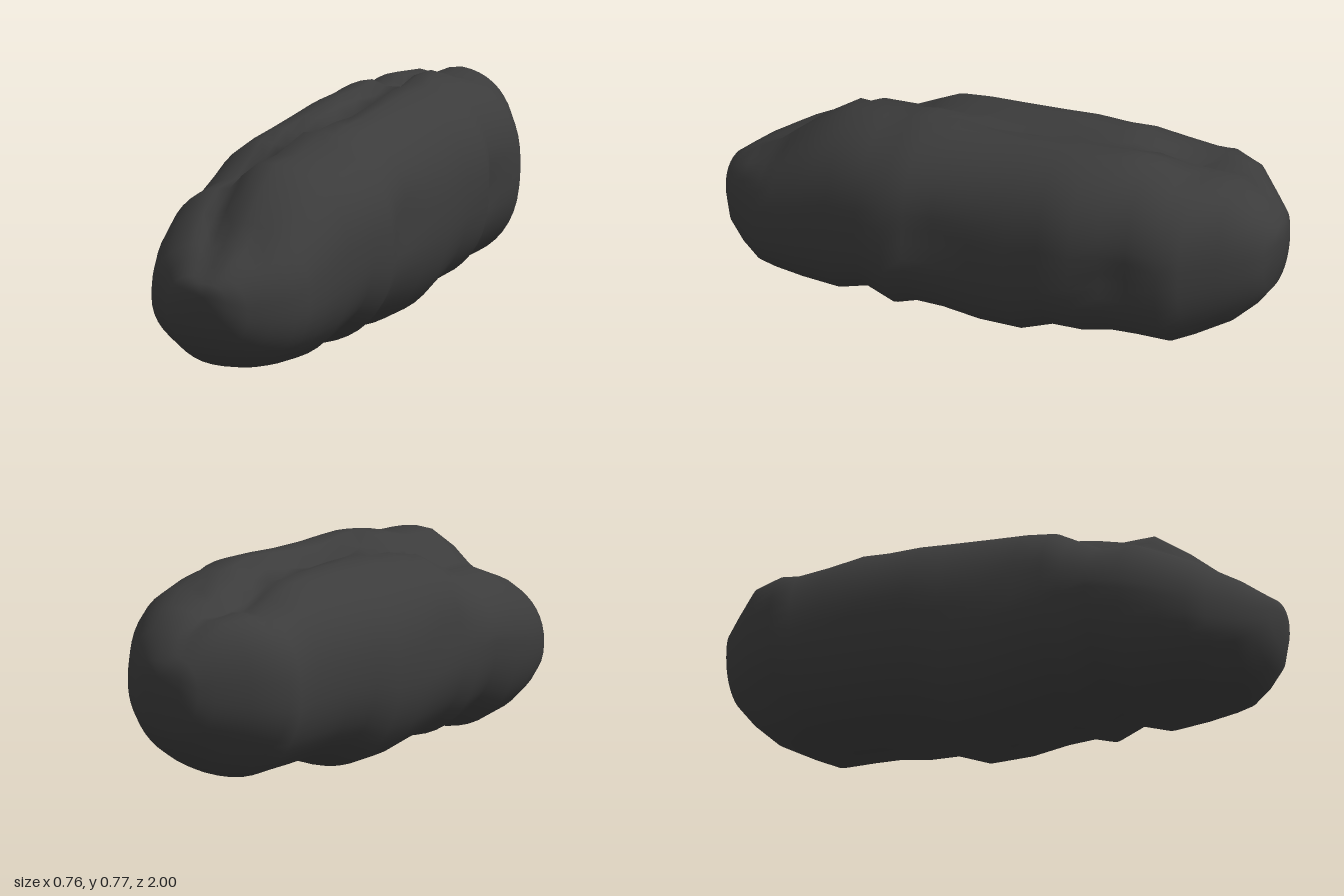
import * as THREE from 'three';

// Cross-sections from back to front: z, min x, max x, bottom, top
const SECTIONS = [
  [-0.985, -0.05, 0.10, 0.43, 0.57],
  [-0.965, -0.11, 0.14, 0.33, 0.60],
  [-0.92, -0.15, 0.20, 0.27, 0.66],
  [-0.84, -0.24, 0.25, 0.19, 0.72],
  [-0.73, -0.32, 0.32, 0.13, 0.735],
  [-0.66, -0.32, 0.35, 0.10, 0.75],
  [-0.55, -0.32, 0.345, 0.095, 0.775],
  [-0.45, -0.325, 0.345, 0.09, 0.78],
  [-0.36, -0.33, 0.38, 0.085, 0.775],
  [-0.24, -0.345, 0.36, 0.07, 0.77],
  [-0.12, -0.355, 0.345, 0.015, 0.76],
  [0.02, -0.36, 0.335, 0.012, 0.75],
  [0.15, -0.365, 0.33, 0.03, 0.745],
  [0.25, -0.37, 0.34, 0.04, 0.735],
  [0.32, -0.375, 0.35, 0.02, 0.72],
  [0.42, -0.38, 0.325, 0.055, 0.69],
  [0.54, -0.383, 0.295, 0.005, 0.685],
  [0.67, -0.36, 0.27, 0.015, 0.60],
  [0.76, -0.33, 0.25, 0.03, 0.53],
  [0.82, -0.305, 0.23, 0.045, 0.48],
  [0.89, -0.24, 0.17, 0.08, 0.44],
  [0.95, -0.19, 0.11, 0.13, 0.39],
  [0.985, -0.12, 0.05, 0.21, 0.365],
];

// Crease along the top: z, x, and how far the -x lobe sits below the other
const CREASE = [
  [-1, -0.03, 0], [-0.8, -0.05, 0], [-0.6, -0.06, 0.01], [-0.5, -0.01, 0.02], [-0.25, -0.01, 0.02],
  [0, 0.0, 0.02], [0.25, -0.08, 0.03], [0.45, -0.11, 0.09], [0.6, -0.13, 0.075],
  [0.8, -0.08, 0.015], [1, -0.05, 0],
];

// Local hollows: x, y, z, radius, depth
const DENTS = [
  [0.35, 0.40, -0.47, 0.09, 0.025],
  [0.34, 0.42, 0.17, 0.12, 0.02],
  [-0.12, 0.72, -0.6, 0.11, 0.06],
  [0.08, 0.74, -0.68, 0.09, 0.025],
  [-0.37, 0.45, 0.2, 0.12, 0.015],
  [0.08, 0.46, 0.8, 0.06, 0.025],
  [-0.22, 0.12, 0.85, 0.1, 0.02],
  [-0.25, 0.22, -0.82, 0.14, 0.03],
];

function creaseAt(z) {
  const i = CREASE.findIndex((p) => z <= p[0]);
  const [z0, x0, d0] = CREASE[i - 1], [z1, x1, d1] = CREASE[i];
  const t = (z - z0) / (z1 - z0);
  return [x0 + (x1 - x0) * t, d0 + (d1 - d0) * t];
}

function boulderGeometry(sides = 48) {
  const positions = [], index = [];

  for (const [z, x0, x1, y0, y1] of SECTIONS) {
    const cx = (x0 + x1) / 2, cy = (y0 + y1) / 2;
    const [creaseX, drop] = creaseAt(z);

    for (let j = 0; j < sides; j++) {
      const a = (j / sides) * Math.PI * 2;
      const c = Math.cos(a), s = Math.sin(a);
      // The upper +x shoulder is the squarest, the underside the roundest
      const power = s < 0 ? 0.9 : c > 0 ? 0.82 : 0.86;
      const round = (v) => Math.sign(v) * Math.pow(Math.abs(v), power);
      let x = cx + round(c) * (x1 - x0) / 2;
      let y = cy + round(s) * (y1 - y0) / 2;
      // Crease between the upper lobes, with the -x lobe stepping down
      if (s > 0) {
        const side = THREE.MathUtils.smoothstep(creaseX - x, -0.02, 0.06);
        const fade = Math.min(1, (1 - Math.abs(z)) * 3);
        const d = (x - creaseX) / 0.05;
        y -= 0.06 * fade * Math.exp(-d * d) + drop * side * Math.sqrt(s);
      }
      // Hollows push the surface towards the core
      for (const [dx, dy, dz, r, depth] of DENTS) {
        const q = ((x - dx) ** 2 + (y - dy) ** 2 + (z - dz) ** 2) / (r * r);
        const k = depth * Math.exp(-q * 1.5) / Math.max(0.05, Math.hypot(x - cx, y - cy));
        x -= (x - cx) * k;
        y -= (y - cy) * k;
      }
      positions.push(x, y, z);
    }
  }

  // Skin between neighbouring sections
  const last = SECTIONS.length - 1;
  for (let i = 0; i < last; i++) {
    for (let j = 0; j < sides; j++) {
      const k = (j + 1) % sides;
      const a = i * sides + j, b = i * sides + k;
      index.push(a, b, a + sides, b, b + sides, a + sides);
    }
  }

  // Rounded end tips
  const back = positions.length / 3, front = back + 1;
  positions.push(0.03, 0.52, -1, -0.03, 0.32, 1);
  for (let j = 0; j < sides; j++) {
    const k = (j + 1) % sides;
    index.push(back, k, j);
    index.push(front, last * sides + j, last * sides + k);
  }

  const geometry = new THREE.BufferGeometry();
  geometry.setAttribute('position', new THREE.Float32BufferAttribute(positions, 3));
  geometry.setIndex(index);
  geometry.computeVertexNormals();
  return geometry;
}

export function createModel() {
  const group = new THREE.Group();
  group.name = 'boulder';
  const stone = new THREE.MeshStandardMaterial({ color: 0x3c3c3c });
  stone.name = 'charcoal stone';
  const rock = new THREE.Mesh(boulderGeometry(), stone);
  rock.name = 'rockBody';
  group.add(rock);
  return group;
}
